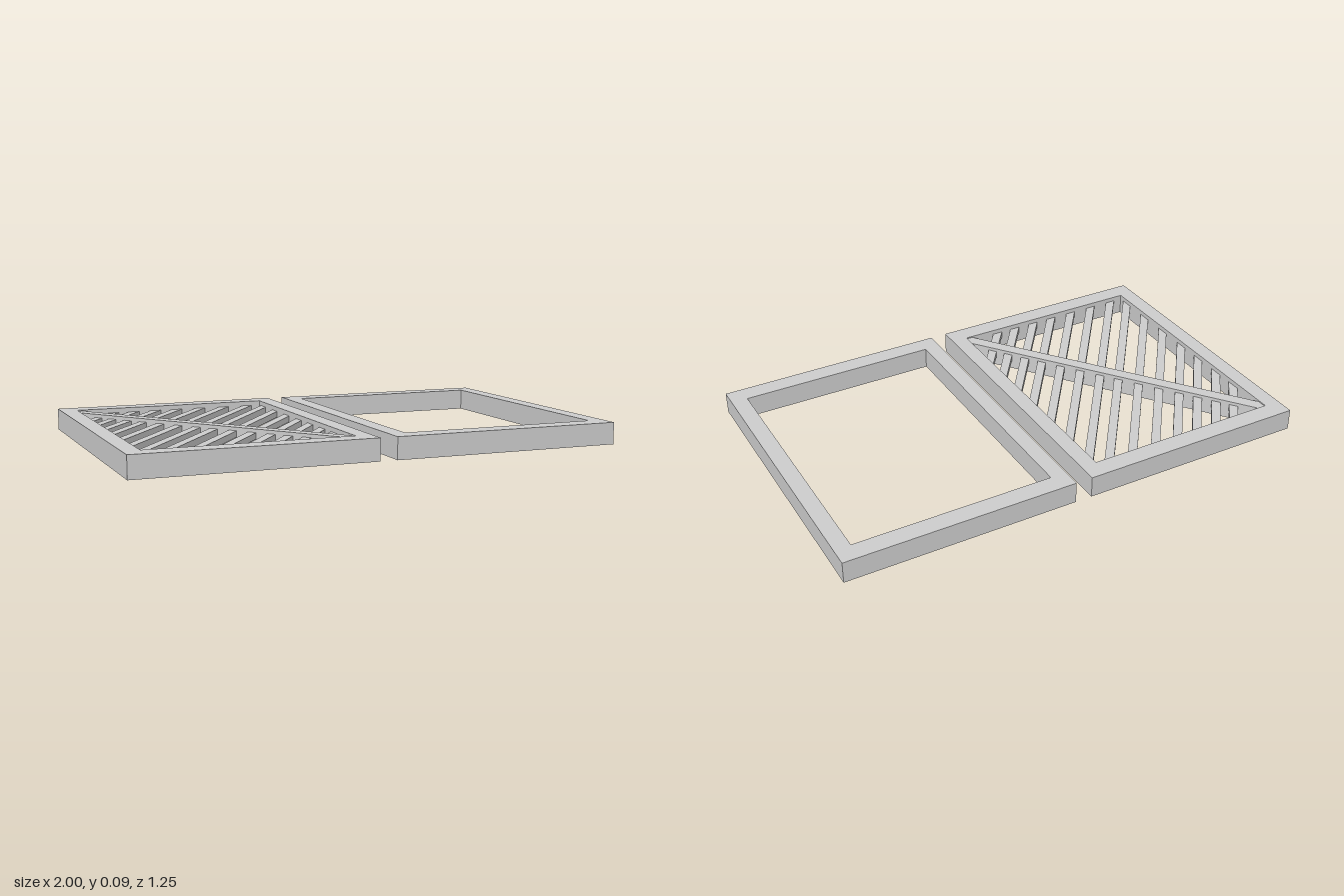
import * as THREE from 'three';

const material = new THREE.MeshStandardMaterial({ color: 0xcccccc, flatShading: true });
const HEIGHT = 0.09;
// Opening of a frame, relative to the frame centre
const CENTRE_X = 0.5175, HALF_X = 0.415, HALF_Z = 0.546;

// Extrudes a flat plan outline (x, -z) upwards from y0 to y1
function slab(name, points, y0, y1, hole) {
  const shape = new THREE.Shape(points.map(([x, y]) => new THREE.Vector2(x, y)));
  if (hole) shape.holes.push(new THREE.Path(hole.map(([x, y]) => new THREE.Vector2(x, y))));
  const geometry = new THREE.ExtrudeGeometry(shape, { depth: y1 - y0, bevelEnabled: false });
  geometry.rotateX(-Math.PI / 2);
  geometry.translate(0, y0, 0);
  const mesh = new THREE.Mesh(geometry, material);
  mesh.name = name;
  return mesh;
}

const rectangle = (hx, hy) => [[-hx, -hy], [hx, -hy], [hx, hy], [-hx, hy]];

function makeFrame(name) {
  return slab(name, rectangle(0.4825, 0.625), 0, HEIGHT, rectangle(HALF_X, HALF_Z));
}

// Ends of the sloping line y = slope * (x - offset) inside the opening
function clipLine(slope, offset) {
  const x0 = Math.max(-HALF_X, offset - HALF_Z / slope);
  const x1 = Math.min(HALF_X, offset + HALF_Z / slope);
  return [x0, x1].map((x) => [x, slope * (x - offset)]);
}

export function createModel() {
  const model = new THREE.Group();
  model.name = 'pairOfFrames';

  // Open frame
  const openFrame = makeFrame('openFrame');
  openFrame.position.x = CENTRE_X;
  model.add(openFrame);

  // Frame filled with slanting slats and a diagonal brace
  const panel = new THREE.Group();
  panel.name = 'slattedPanel';
  panel.position.x = -CENTRE_X;
  panel.add(makeFrame('slattedFrame'));

  // Slats, mirrored about the centre of the opening
  const slope = 1.35, halfWidth = 0.0227;
  for (const distance of [0.05, 0.16, 0.27, 0.377, 0.473, 0.57, 0.66]) {
    for (const side of [-1, 1]) {
      const [a, b] = clipLine(slope, side * distance - halfWidth);
      const [c, d] = clipLine(slope, side * distance + halfWidth);
      panel.add(slab('slat', [a, c, d, b], 0.045, 0.071));
    }
  }

  // Diagonal brace, cut to fit the two corners
  const cutX = 0.03, cutY = 0.043;
  panel.add(slab('diagonalBrace', [
    [-HALF_X, HALF_Z], [-HALF_X, HALF_Z - cutY], [HALF_X - cutX, -HALF_Z],
    [HALF_X, -HALF_Z], [HALF_X, -HALF_Z + cutY], [-HALF_X + cutX, HALF_Z],
  ], 0.005, 0.085));

  model.add(panel);
  return model;
}
